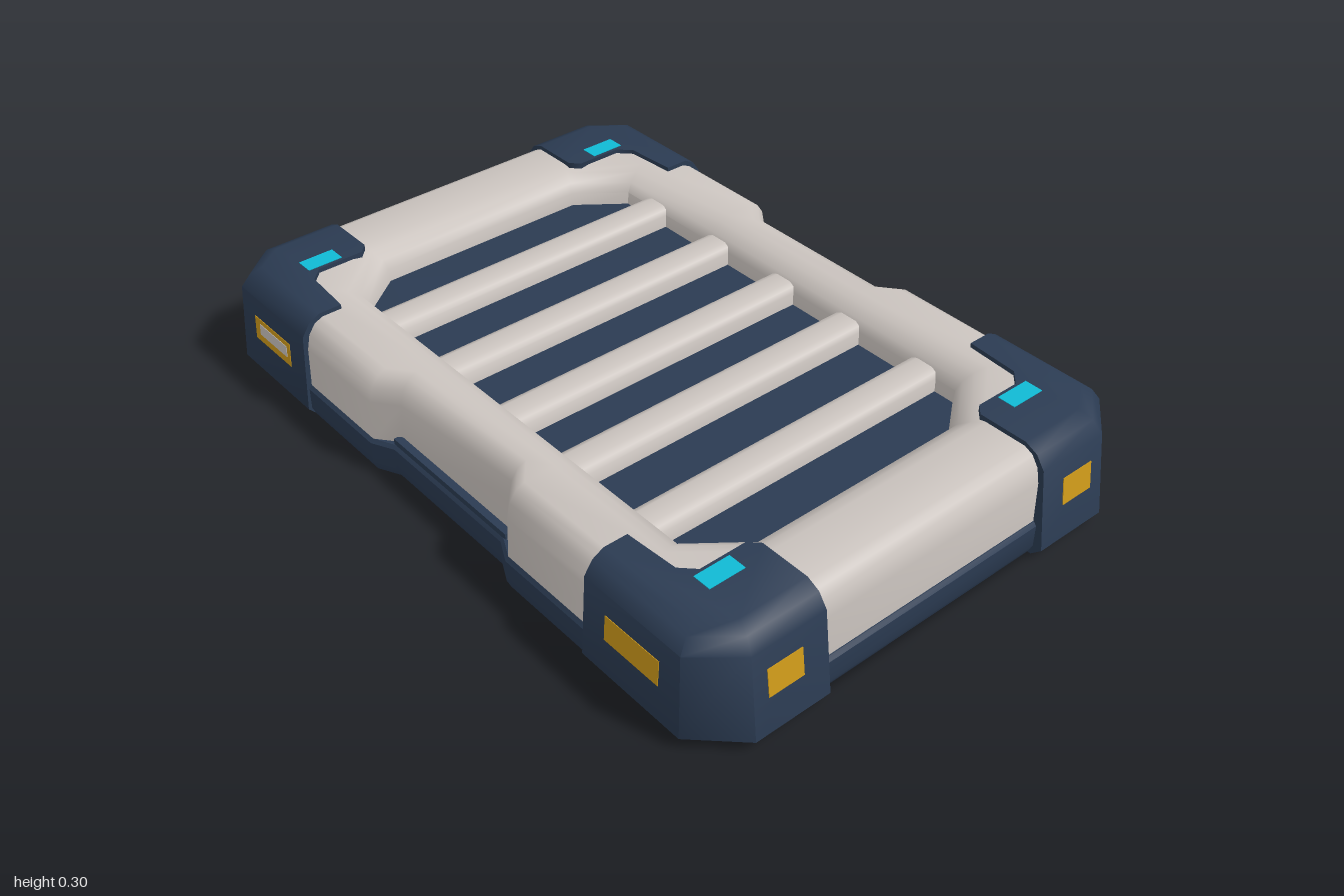
import * as THREE from 'three';
import { toCreasedNormals } from 'three/addons/utils/BufferGeometryUtils.js';

const paint = (name, color) => {
  const m = new THREE.MeshStandardMaterial({ color });
  m.name = name;
  return m;
};

// Skin a stack of loops ({ y, pts: [[x, z], ...] }), optionally capping the ends.
function loft(levels, capBottom, capTop, crease = 0.6) {
  const pos = [];
  const put = (level, i) => pos.push(level.pts[i][0], level.y, level.pts[i][1]);
  for (let k = 0; k + 1 < levels.length; k++) {
    const a = levels[k], b = levels[k + 1], n = a.pts.length;
    for (let i = 0; i < n; i++) {
      const j = (i + 1) % n;
      put(a, i); put(b, i); put(a, j);
      put(a, j); put(b, i); put(b, j);
    }
  }
  const cap = (level, up) => {
    const v = level.pts.map(p => new THREE.Vector2(p[0], p[1]));
    for (const [a, b, c] of THREE.ShapeUtils.triangulateShape(v, [])) {
      const turn = v[b].clone().sub(v[a]).cross(v[c].clone().sub(v[a]));
      const order = (turn < 0) === up ? [a, b, c] : [a, c, b];
      order.forEach(i => put(level, i));
    }
  };
  if (capBottom) cap(levels[0], false);
  if (capTop) cap(levels[levels.length - 1], true);
  const g = new THREE.BufferGeometry();
  g.setAttribute('position', new THREE.Float32BufferAttribute(pos, 3));
  return toCreasedNormals(g, crease);
}

// Mirror one quarter outline (side to front) into a closed loop.
function mirrorLoop(q) {
  const r = [...q].reverse();
  return [
    ...q, ...r.map(([x, z]) => [-x, z]),
    ...q.map(([x, z]) => [-x, -z]), ...r.map(([x, z]) => [x, -z]),
  ];
}

// Outer outline with a shallow notch in the middle of the long sides.
const outline = (X, Z, notch, d) => mirrorLoop([
  [X - d, Z - 0.115 - 0.4 * d], [X - 0.095 - 0.4 * d, Z - d],
  [0.28, Z - d], [0.22, notch - d],
]);
// Octagonal opening, with the same point count as the outline.
const opening = e => mirrorLoop([
  [0.715 + e, 0.31 + 0.4 * e], [0.62 + 0.4 * e, 0.435 + e],
  [0.28, 0.435 + e], [0.22, 0.435 + e],
]);

// Corner bumper plan; only the outside edges move with the insets.
function cornerPlan(sx, sz, dx, dz) {
  const p = [
    [0.775, 0.345], [1 - dx, 0.345], [1 - dx, 0.56 - 0.4 * dz], [0.89 - 0.4 * dx, 0.675 - dz],
    [0.57, 0.675 - dz], [0.57, 0.545], [0.715, 0.535], [0.75, 0.5], [0.75, 0.37],
  ].map(([x, z]) => [x * sx, z * sz]);
  return sx * sz < 0 ? p.reverse() : p;
}

export function createModel() {
  const grey = paint('warm grey', 0xcbc4bf);
  const navy = paint('navy', 0x2b3b52);
  const amber = paint('amber', 0xcf9a1a);
  const cyan = paint('cyan', 0x10bad4);
  const root = new THREE.Group();
  root.name = 'slattedPanel';
  const add = (name, geometry, material, parent = root) => {
    const m = new THREE.Mesh(geometry, material);
    m.name = name;
    parent.add(m);
    return m;
  };

  // Underside plate and base band
  add('underside', loft([
    { y: 0, pts: outline(0.97, 0.655, 0.64, 0.005) },
    { y: 0.005, pts: outline(0.97, 0.655, 0.64, 0) },
  ], true, false), grey);
  add('baseBand', loft([[0.004, 0.012], [0.03, 0], [0.09, 0], [0.1, 0.008]].map(
    ([y, d]) => ({ y, pts: outline(0.975, 0.665, 0.635, d) })), false, true), navy);

  // Raised band sections inside the notches
  for (const s of [1, -1]) {
    const lip = add('notchLip', new THREE.BoxGeometry(0.46, 0.03, 0.05), navy);
    lip.position.set(0, 0.1, s * 0.603);
  }

  // Rounded frame around the opening
  add('frame', loft([
    ...[[0.095, 0], [0.21, 0.004], [0.25, 0.013], [0.277, 0.032], [0.288, 0.056]].map(
      ([y, d]) => ({ y, pts: outline(0.965, 0.657, 0.608, d) })),
    ...[[0.288, 0.08], [0.279, 0.05], [0.26, 0.02], [0.235, 0.005], [0.18, 0]].map(
      ([y, e]) => ({ y, pts: opening(e) })),
  ], false, false, 0.9), grey);

  // Recessed floor and cross slats
  add('floor', loft([{ y: 0.15, pts: opening(0.004) }, { y: 0.2, pts: opening(0.004) }], false, true), navy);
  for (const x of [-0.505, -0.245, 0.01, 0.25, 0.51]) {
    const slat = add('slat', loft([[0.19, 0.053], [0.234, 0.049], [0.247, 0.04], [0.253, 0.024]].map(
      ([y, w]) => ({ y, pts: [[w, -0.45], [w, 0.45], [-w, 0.45], [-w, -0.45]] })), true, true, 0.9), grey);
    slat.position.x = x;
  }

  // Corner bumpers with lamps and top markers
  const steps = [[0.004, 0.028, 0.025], [0.03, 0, 0], [0.25, 0.03, 0.012], [0.284, 0.055, 0.035], [0.3, 0.09, 0.065]];
  for (const sx of [1, -1]) for (const sz of [1, -1]) {
    const corner = new THREE.Group();
    corner.name = 'corner';
    root.add(corner);
    add('bumper', loft(steps.map(([y, dx, dz]) => ({ y, pts: cornerPlan(sx, sz, dx, dz) })), true, true, 0.9), navy, corner);

    const longLamp = add('longSideLamp', new THREE.BoxGeometry(0.175, 0.068, 0.006), amber, corner);
    longLamp.position.set(sx * 0.73, 0.158, sz * 0.6665);
    longLamp.rotation.x = -sz * 0.055;

    const endLamp = add('endLamp', new THREE.BoxGeometry(0.006, 0.074, 0.1), amber, corner);
    endLamp.position.set(sx * 0.981, 0.16, sz * 0.467);
    endLamp.rotation.z = sx * 0.136;

    const marker = add('topMarker', new THREE.BoxGeometry(0.05, 0.006, 0.1), cyan, corner);
    marker.position.set(sx * 0.784, 0.2985, sz * 0.475);
  }

  // Pale insert in one front lamp
  const insert = add('lampInsert', new THREE.BoxGeometry(0.135, 0.032, 0.004), grey);
  insert.position.set(-0.725, 0.162, 0.6685);
  insert.rotation.x = -0.055;

  return root;
}
